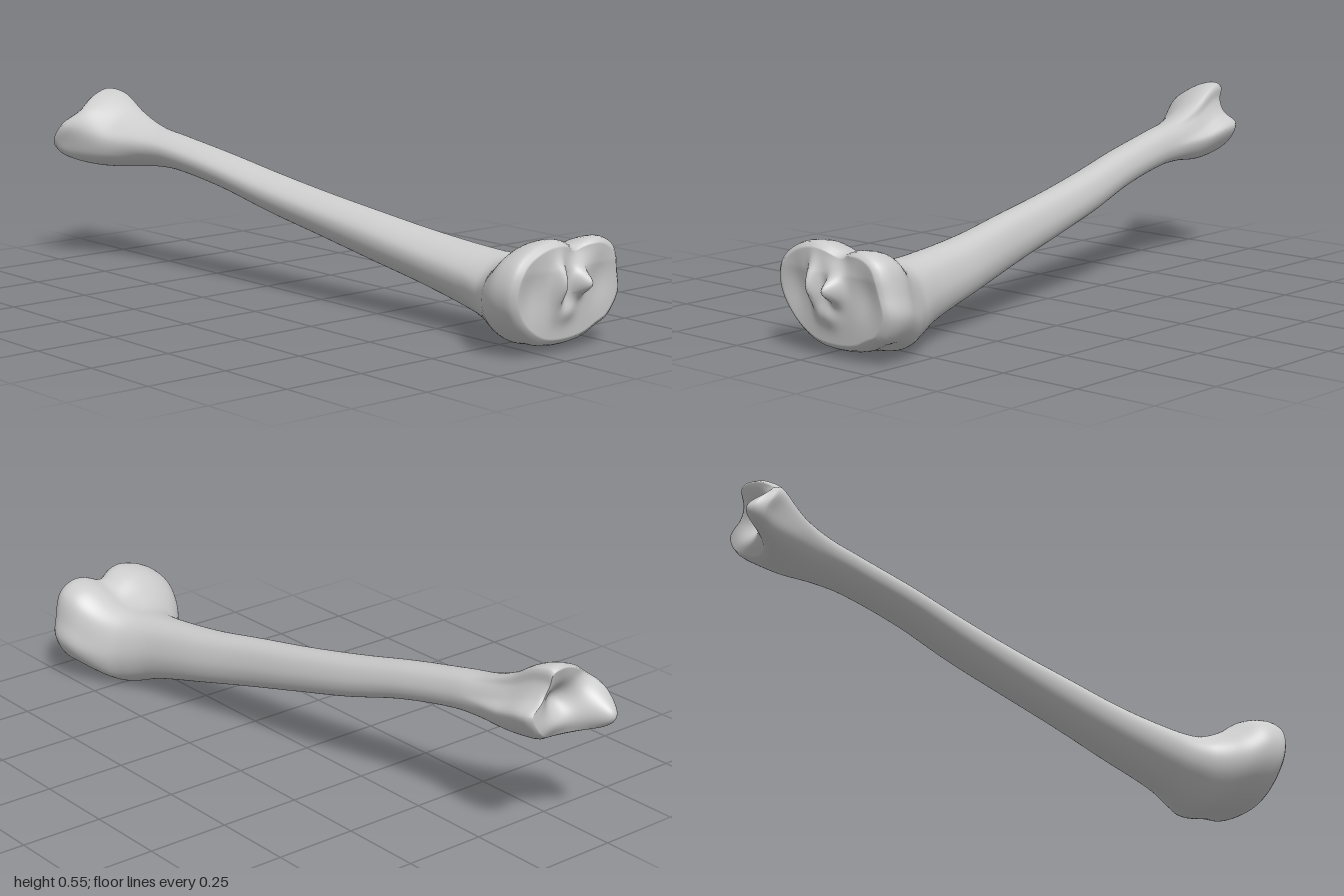
import * as THREE from 'three';

const SEG = 96;
const STEPS = 150;

// Outlines in the xy plane: knee end, triangular shaft, ankle end
const KNEE = [[0.01, 0.32], [-0.06, 0.305], [-0.12, 0.265], [-0.145, 0.21], [-0.14, 0.15], [-0.105, 0.09],
  [-0.05, 0.045], [0, 0.025], [0.08, 0.02], [0.15, 0.03], [0.2, 0.053], [0.245, 0.075], [0.28, 0.14],
  [0.27, 0.2], [0.245, 0.28], [0.2, 0.308], [0.15, 0.308], [0.1, 0.293], [0.05, 0.313]];
const SHAFT = [[0.3, 1], [-0.4, 0.9], [-0.95, 0.4], [-0.9, -0.2], [-0.3, -0.8], [0.35, -1], [0.8, -0.75], [1, -0.1], [0.75, 0.7]];
const ANKLE = [[0, 0.42], [-0.045, 0.455], [-0.068, 0.5], [-0.07, 0.54], [-0.1, 0.55], [-0.16, 0.535], [-0.23, 0.49],
  [-0.28, 0.44], [-0.275, 0.37], [-0.24, 0.335], [-0.15, 0.312], [-0.09, 0.318], [-0.03, 0.36]];

// Extents along the bone: z, min x, max x, min y, max y
const EXTENTS = [
  [-0.94, -0.272, -0.008, 0.325, 0.543],
  [-0.925, -0.28, 0, 0.315, 0.55],
  [-0.88, -0.258, 0.002, 0.312, 0.54],
  [-0.8, -0.21, -0.008, 0.314, 0.49],
  [-0.7, -0.165, -0.018, 0.324, 0.452],
  [-0.6, -0.14, -0.015, 0.322, 0.435],
  [-0.4, -0.115, 0.01, 0.288, 0.4],
  [-0.2, -0.09, 0.04, 0.235, 0.36],
  [0, -0.065, 0.065, 0.19, 0.325],
  [0.2, -0.045, 0.09, 0.145, 0.295],
  [0.4, -0.03, 0.125, 0.1, 0.265],
  [0.6, -0.03, 0.155, 0.05, 0.245],
  [0.7, -0.055, 0.19, 0.014, 0.24],
  [0.75, -0.085, 0.22, 0.002, 0.248],
  [0.8, -0.122, 0.25, 0.008, 0.268],
  [0.85, -0.143, 0.276, 0.018, 0.302],
  [0.9, -0.146, 0.282, 0.02, 0.318],
  [0.93, -0.14, 0.272, 0.028, 0.316],
  [0.942, -0.128, 0.258, 0.04, 0.306],
];

// Distance from the box centre to a smooth outline, by angle, scaled to a unit box
function unitOutline(corners) {
  const curve = new THREE.CatmullRomCurve3(corners.map(([x, y]) => new THREE.Vector3(x, y, 0)), true);
  const pts = curve.getPoints(300);
  const box = new THREE.Box3().setFromPoints(pts);
  const mid = box.getCenter(new THREE.Vector3());
  const half = box.getSize(new THREE.Vector3()).multiplyScalar(0.5);
  const unit = pts.map((p) => [(p.x - mid.x) / half.x, (p.y - mid.y) / half.y]);
  return Array.from({ length: SEG }, (_, j) => {
    const a = (j / SEG) * Math.PI * 2, dx = Math.cos(a), dy = Math.sin(a);
    let best = 0;
    for (let i = 0; i < unit.length - 1; i++) {
      const [ax, ay] = unit[i], [bx, by] = unit[i + 1];
      const ca = dx * ay - dy * ax, cb = dx * by - dy * bx;
      if (ca * cb > 0 || ca === cb) continue;
      const s = ca / (ca - cb);
      best = Math.max(best, dx * (ax + s * (bx - ax)) + dy * (ay + s * (by - ay)));
    }
    return best;
  });
}

// Smooth interpolation of the extents at a given z
function extentsAt(z) {
  const n = EXTENTS.length;
  let i = 0;
  while (i < n - 2 && EXTENTS[i + 1][0] < z) i++;
  const h = EXTENTS[i + 1][0] - EXTENTS[i][0];
  const t = (z - EXTENTS[i][0]) / h;
  const slope = (k, c) => {
    const a = EXTENTS[Math.max(k - 1, 0)], b = EXTENTS[Math.min(k + 1, n - 1)];
    return (b[c] - a[c]) / (b[0] - a[0]);
  };
  return [1, 2, 3, 4].map((c) => {
    const t2 = t * t, t3 = t2 * t;
    return (2 * t3 - 3 * t2 + 1) * EXTENTS[i][c] + (t3 - 2 * t2 + t) * h * slope(i, c)
      + (3 * t2 - 2 * t3) * EXTENTS[i + 1][c] + (t3 - t2) * h * slope(i + 1, c);
  });
}

const bump = (x, y, cx, cy, rx, ry = rx) => Math.exp(-(((x - cx) / rx) ** 2) - ((y - cy) / ry) ** 2);

// Knee joint surface: two shallow dishes, two central spines, a sloping front
function kneeRelief(x, y) {
  return 0.13 * Math.min(y - 0.2, 0.04)
    - 0.014 * bump(x, y, -0.07, 0.19, 0.05, 0.08) - 0.014 * bump(x, y, 0.19, 0.2, 0.05, 0.07)
    + 0.038 * bump(x, y, 0.015, 0.2, 0.018, 0.06) + 0.056 * bump(x, y, 0.093, 0.2, 0.022, 0.035)
    + 0.014 * bump(x, y, 0.055, 0.12, 0.035, 0.03) - 0.02 * bump(x, y, 0.1, 0.29, 0.04, 0.04);
}

// Ankle joint surface: a hollow, a long inner knob and a raised rear lip
function ankleRelief(x, y) {
  return -0.075 * bump(x, y, -0.245, 0.385, 0.05, 0.055) + 0.05 * bump(x, y, -0.125, 0.435, 0.055, 0.05)
    + 0.04 * bump(x, y, -0.12, 0.31, 0.08, 0.045) + 0.02 * bump(x, y, -0.23, 0.5, 0.05, 0.04)
    - 0.01 * bump(x, y, -0.09, 0.55, 0.05, 0.03);
}

function boneGeometry() {
  const knee = unitOutline(KNEE), shaft = unitOutline(SHAFT), ankle = unitOutline(ANKLE);
  const z0 = EXTENTS[0][0], z1 = EXTENTS[EXTENTS.length - 1][0];
  const positions = [], index = [];
  let rings = 0;

  function addRing(z, scale) {
    const [xa, xb, ya, yb] = extentsAt(z);
    const k = THREE.MathUtils.smoothstep(z, 0.67, 0.86);
    const a = THREE.MathUtils.smoothstep(-z, 0.62, 0.9);
    const kneeEnd = THREE.MathUtils.smoothstep(z, 0.84, z1);
    const ankleEnd = THREE.MathUtils.smoothstep(-z, 0.8, -z0);
    for (let j = 0; j < SEG; j++) {
      const r = scale * (shaft[j] * (1 - k - a) + knee[j] * k + ankle[j] * a);
      const t = (j / SEG) * Math.PI * 2;
      const x = (xa + xb) / 2 + (r * Math.cos(t) * (xb - xa)) / 2;
      const y = (ya + yb) / 2 + (r * Math.sin(t) * (yb - ya)) / 2;
      positions.push(x, y, z + kneeEnd * kneeRelief(x, y) + ankleEnd * ankleRelief(x, y));
    }
    rings++;
  }

  // Ankle surface, body, knee surface
  const CAP = 24;
  for (let i = 0; i < CAP; i++) addRing(z0, Math.max(i / CAP, 0.001));
  for (let i = 0; i <= STEPS; i++) addRing(z0 + ((z1 - z0) * i) / STEPS, 1);
  for (let i = CAP - 1; i >= 0; i--) addRing(z1, Math.max(i / CAP, 0.001));

  for (let i = 0; i < rings - 1; i++) {
    for (let j = 0; j < SEG; j++) {
      const a = i * SEG + j, b = i * SEG + ((j + 1) % SEG);
      index.push(a, b, b + SEG, a, b + SEG, a + SEG);
    }
  }
  const geometry = new THREE.BufferGeometry();
  geometry.setAttribute('position', new THREE.Float32BufferAttribute(positions, 3));
  geometry.setIndex(index);
  geometry.computeVertexNormals();
  return geometry;
}

export function createModel() {
  const group = new THREE.Group();
  group.name = 'shinBone';
  const bone = new THREE.Mesh(boneGeometry(), new THREE.MeshStandardMaterial({ color: 0xcccccc }));
  bone.name = 'boneShaftAndJointEnds';
  // Centre on x and z, rest on the ground
  const box = new THREE.Box3().setFromObject(bone);
  bone.position.set(-(box.min.x + box.max.x) / 2, -box.min.y, -(box.min.z + box.max.z) / 2);
  group.add(bone);
  return group;
}
